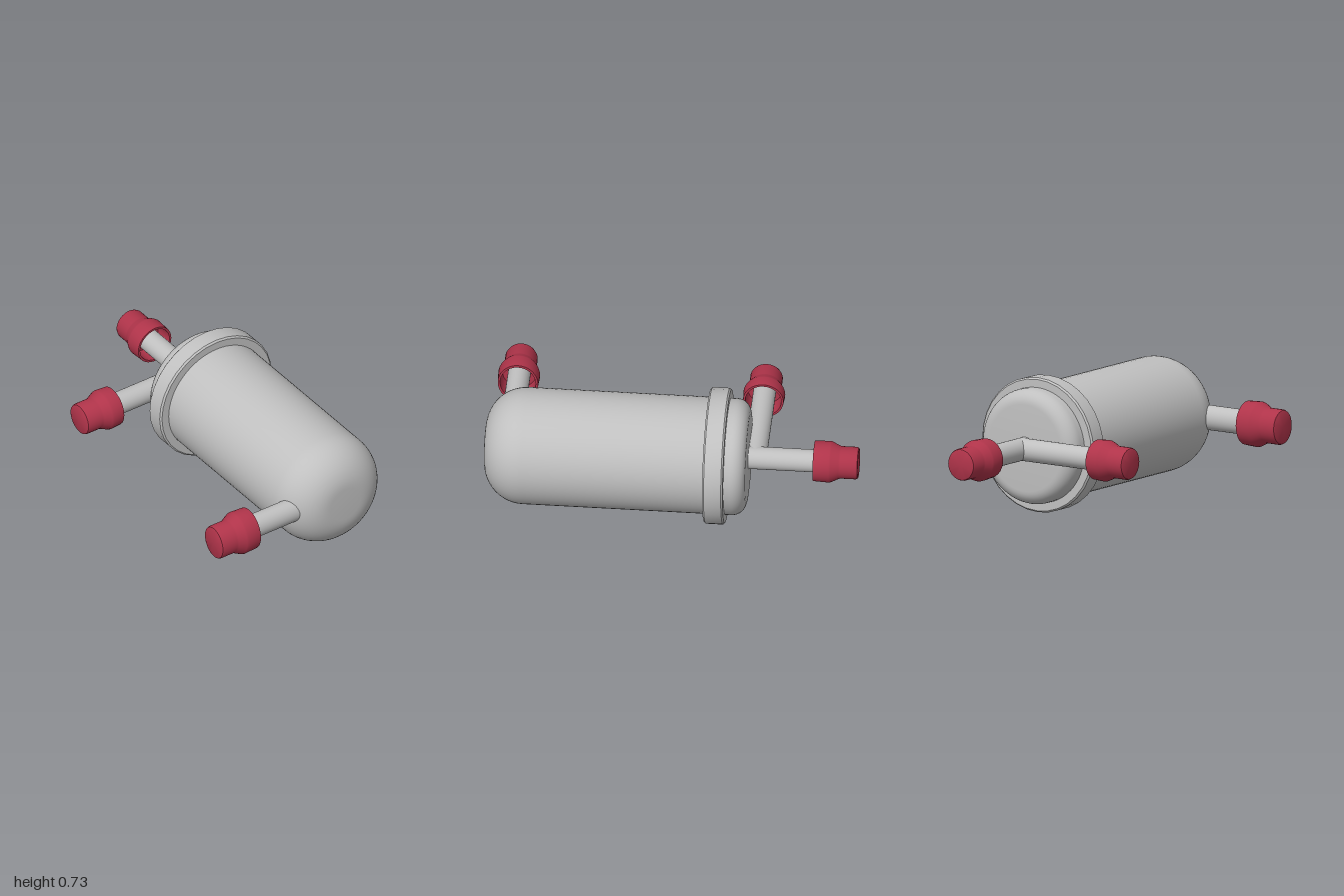
import * as THREE from 'three';
import { toCreasedNormals } from 'three/addons/utils/BufferGeometryUtils.js';

const AXIS_Y = 0.367, AXIS_Z = -0.205;

export function createModel() {
  const model = new THREE.Group();
  model.name = 'filterCanister';
  const metal = new THREE.MeshStandardMaterial({ color: 0xc0c0c0 });
  metal.name = 'grey metal';
  const red = new THREE.MeshStandardMaterial({ color: 0xb0344a });
  red.name = 'red plastic';

  // Revolved part built along +y, keeping sharp edges sharp
  function lathe(name, profile, segments, material) {
    const points = profile.map(([r, y]) => new THREE.Vector2(r, y));
    const geometry = toCreasedNormals(new THREE.LatheGeometry(points, segments), 0.5);
    const mesh = new THREE.Mesh(geometry, material);
    mesh.name = name;
    return mesh;
  }

  // Quarter-round corner points, from angle a to b in degrees
  function arc(r, y, radius, a, b, steps) {
    return Array.from({ length: steps + 1 }, (_, i) => {
      const t = THREE.MathUtils.degToRad(a + (b - a) * i / steps);
      return [r + radius * Math.cos(t), y + radius * Math.sin(t)];
    });
  }

  // Body: small rounding at the inlet end, large dome at the other
  const body = lathe('body', [
    [0, -0.41],
    ...arc(0.236, -0.333, 0.077, -90, 0, 8),
    ...arc(0.098, 0.785, 0.215, 0, 90, 14),
    [0, 1.0],
  ], 64, metal);

  // Clamp ring around the body
  const ring = lathe('clampRing', [
    [0.3, -0.3], [0.357, -0.3], [0.366, -0.291],
    [0.366, -0.199], [0.357, -0.19], [0.3, -0.19],
  ], 32, metal);

  for (const part of [body, ring]) {
    part.rotation.z = -Math.PI / 2;
    part.position.set(0, AXIS_Y, AXIS_Z);
    model.add(part);
  }

  // Pipe with a hollow cap pushed over its end; starts at the origin, runs along +y
  function cappedPipe(name, capStart, capEnd) {
    const group = new THREE.Group();
    group.name = name;
    const pipeEnd = capStart + 0.11;
    const pipe = new THREE.Mesh(
      new THREE.CylinderGeometry(0.061, 0.061, pipeEnd, 32).translate(0, pipeEnd / 2, 0), metal);
    pipe.name = 'pipe';
    const length = capEnd - capStart;
    const cap = lathe('cap', [
      [0, 0.1], [0.092, 0.1], [0.096, 0], [0.108, 0],
      [0.112, length - 0.155], [0.109, length - 0.145],
      [0.09, length - 0.105], [0.087, length - 0.095],
      [0.087, length - 0.014], [0.083, length - 0.004], [0.075, length], [0, length],
    ], 32, red);
    cap.position.y = capStart;
    group.add(pipe, cap);
    model.add(group);
    return group;
  }

  // Inlet running sideways out of the flat end
  const inlet = cappedPipe('sideInlet', 0.35, 0.59);
  inlet.rotation.z = Math.PI / 2;
  inlet.position.set(-0.41, AXIS_Y, AXIS_Z);

  // Branch of the inlet pointing forward
  const branch = cappedPipe('frontBranch', 0.5, 0.72);
  branch.rotation.x = Math.PI / 2;
  branch.position.set(-0.444, AXIS_Y, AXIS_Z);

  // Outlet at the domed end, slightly taller than wide
  const outlet = cappedPipe('frontOutlet', 0.44, 0.675);
  outlet.rotation.x = Math.PI / 2;
  outlet.scale.z = 1.1;
  outlet.position.set(0.874, AXIS_Y, -0.105);

  return model;
}
